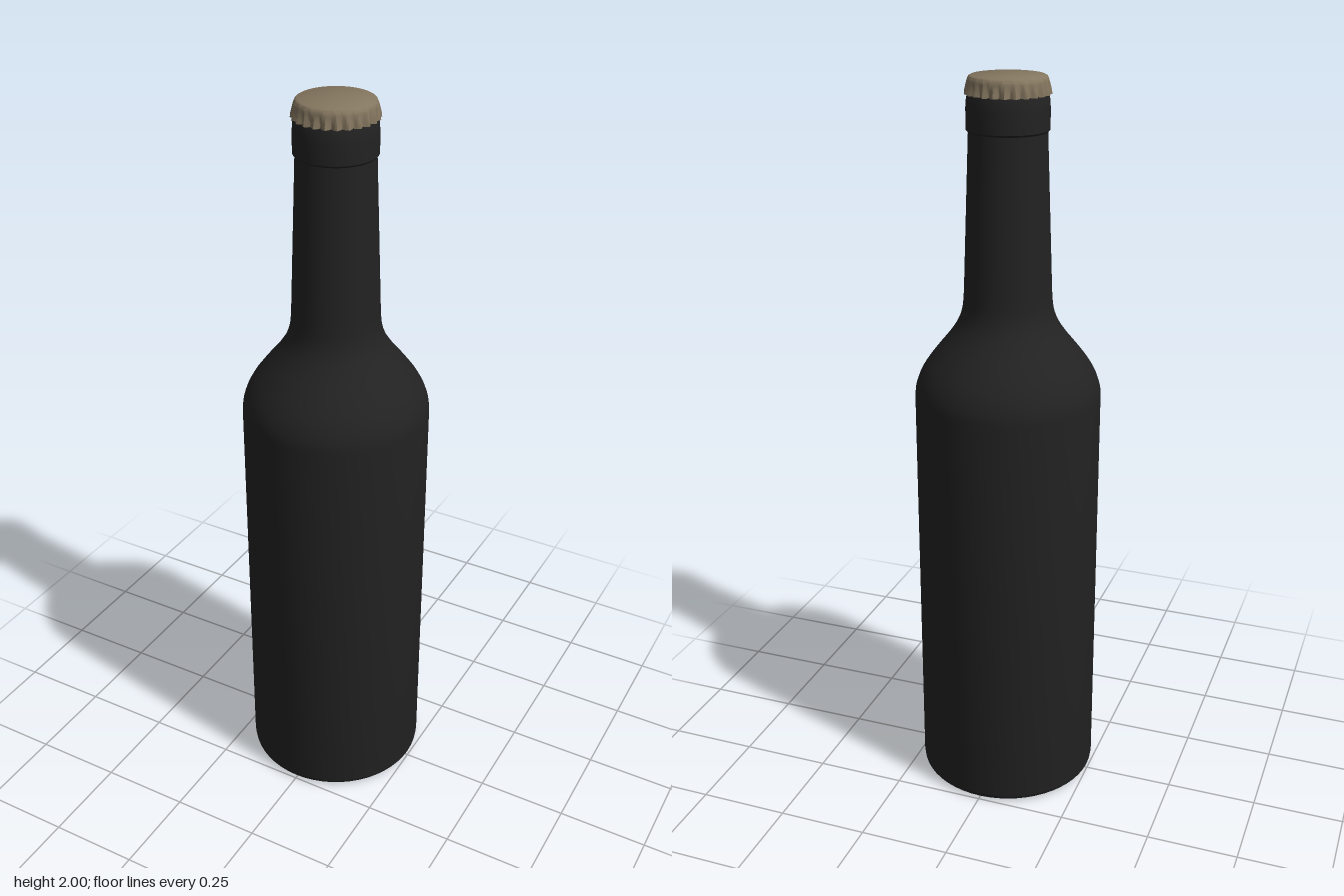
import * as THREE from 'three';
import { toCreasedNormals } from 'three/addons/utils/BufferGeometryUtils.js';

const glass = new THREE.MeshStandardMaterial({ color: 0x222222, side: THREE.DoubleSide });
const metal = new THREE.MeshStandardMaterial({ color: 0x857760, side: THREE.DoubleSide });

const points = (pairs) => pairs.map(([r, y]) => new THREE.Vector2(r, y));
const smooth = (pairs, n) => new THREE.SplineCurve(points(pairs)).getPoints(n);

function lathe(name, profile, segments, material) {
  const geometry = toCreasedNormals(new THREE.LatheGeometry(profile, segments), 0.6);
  const mesh = new THREE.Mesh(geometry, material);
  mesh.name = name;
  return mesh;
}

// Bottle: hollowed base, straight body, curved shoulder, tapering neck
function createBottle() {
  const base = smooth([[0, 0.05], [0.08, 0.043], [0.15, 0.025], [0.205, 0.003], [0.225, 0],
    [0.238, 0.003], [0.248, 0.012], [0.251, 0.03]], 28);
  const shoulder = smooth([[0.251, 1.15], [0.249, 1.18], [0.239, 1.213], [0.22, 1.248], [0.19, 1.288],
    [0.156, 1.33], [0.132, 1.368], [0.12, 1.405], [0.116, 1.45]], 28);
  const neck = points([[0.101, 1.866]]);
  return lathe('bottle', [...base, ...shoulder, ...neck], 56, glass);
}

// Raised ring around the mouth, running up under the cap
function createCollar() {
  const profile = points([[0.095, 1.862], [0.103, 1.862], [0.107, 1.867], [0.107, 1.92],
    [0.105, 1.945], [0.1, 1.96], [0.095, 1.985], [0, 1.985]]);
  return lathe('collar', profile, 56, glass);
}

// Crown cap: skirt crimped into flutes that fade towards the flat top
function createCap() {
  const teeth = 24;
  const profile = points([[0.098, 1.954], [0.106, 1.954], [0.105, 1.965], [0.104, 1.975],
    [0.103, 1.984], [0.102, 1.991], [0.099, 1.997], [0.094, 2], [0, 2]]);
  const geometry = new THREE.LatheGeometry(profile, teeth * 8);
  const position = geometry.attributes.position;
  for (let i = 0; i < position.count; i++) {
    const x = position.getX(i), y = position.getY(i), z = position.getZ(i);
    const r = Math.hypot(x, z);
    if (r < 0.097) continue;
    const fade = THREE.MathUtils.clamp((1.993 - y) / 0.03, 0, 1);
    const scale = 1 + 0.045 * fade * Math.cos(teeth * Math.atan2(x, z));
    position.setXYZ(i, x * scale, y, z * scale);
  }
  const mesh = new THREE.Mesh(toCreasedNormals(geometry, 0.7), metal);
  mesh.name = 'cap';
  return mesh;
}

export function createModel() {
  const group = new THREE.Group();
  group.name = 'cappedBottle';
  group.add(createBottle(), createCollar(), createCap());
  return group;
}
